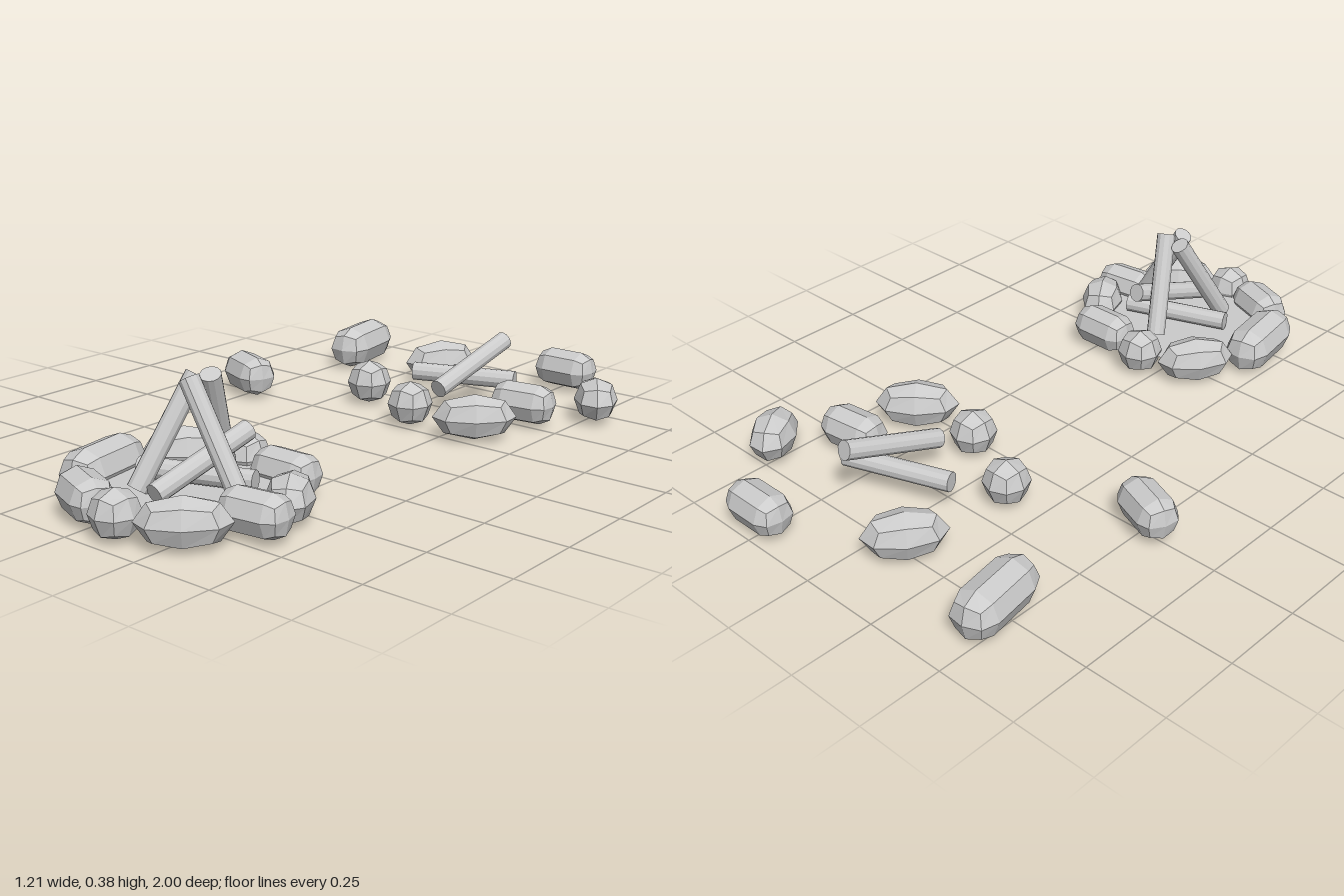
import * as THREE from 'three';

const mat = new THREE.MeshStandardMaterial({ color: 0xcccccc, flatShading: true });
const discMat = new THREE.MeshStandardMaterial({ color: 0xcccccc, flatShading: true, side: THREE.DoubleSide });

// Stone: a box grid rounded by a rule; long stones keep a straight middle
function stoneGeometry(half, radius, straight) {
  const geo = new THREE.BoxGeometry(2, 2, 2, straight ? 4 : 2, 2, 2);
  const p = geo.attributes.position;
  const lateral = [1, 1, 0.72, 0.58];
  const along = straight ? [1, 1, 0.9, 0.82] : lateral;
  for (let i = 0; i < p.count; i++) {
    const x = p.getX(i), y = p.getY(i), z = p.getZ(i);
    const isEnd = Math.abs(x) > 0.9;
    const n = (isEnd ? 1 : 0) + (Math.abs(y) > 0.5 ? 1 : 0) + (Math.abs(z) > 0.5 ? 1 : 0);
    const ax = isEnd ? x * along[n] : x * 1.1;
    p.setXYZ(i, ax * half, y * lateral[n] * radius, z * lateral[n] * radius);
  }
  geo.computeVertexNormals();
  return geo;
}

// Log: a cylinder between two points
function log(a, b) {
  const from = new THREE.Vector3(...a), to = new THREE.Vector3(...b);
  const dir = to.clone().sub(from);
  const mesh = new THREE.Mesh(new THREE.CylinderGeometry(0.029, 0.029, dir.length(), 12), mat);
  mesh.position.copy(from).add(to).multiplyScalar(0.5);
  mesh.quaternion.setFromUnitVectors(new THREE.Vector3(0, 1, 0), dir.normalize());
  mesh.name = 'log';
  return mesh;
}

// Half length, radius, straight middle, turn in degrees, place in ring, place when scattered
const STONES = [
  [0.068, 0.069, false, 0, [0.055, 0.392], [-0.135, -0.4]],
  [0.1, 0.062, true, 0, [0.23, 0.422], [0.27, -0.94]],
  [0.1, 0.067, false, -57, [0.368, 0.565], [0.525, -0.693]],
  [0.1, 0.062, true, 7, [0.372, 0.7], [0.372, -0.52]],
  [0.126, 0.07, false, 40, [0.282, 0.862], [0.342, -0.298]],
  [0.068, 0.069, false, 0, [0.11, 0.928], [0.11, -0.29]],
  [0.099, 0.063, true, -21, [-0.046, 0.887], [-0.501, -0.228]],
  [0.138, 0.07, true, -81, [-0.182, 0.702], [-0.461, -0.77]],
  [0.121, 0.07, false, 54, [-0.106, 0.47], [-0.106, -0.752]],
];

// Two fallen logs, shared by both piles
const FALLEN = [
  [[-0.052, 0.092, 0.69], [0.26, 0.092, 0.577]],
  [[0.133, 0.092, 0.815], [0.165, 0.192, 0.5]],
];
// Three logs leaning together
const LEANING = [
  [[0.028, 0.07, 0.776], [0.08, 0.352, 0.605]],
  [[0.28, 0.075, 0.66], [0.11, 0.358, 0.66]],
  [[0.072, 0.08, 0.49], [0.145, 0.366, 0.617]],
];
const SCATTER_Z = -1.22;

export function createModel() {
  const root = new THREE.Group();
  const campfire = new THREE.Group();
  campfire.name = 'campfire';
  const scattered = new THREE.Group();
  scattered.name = 'scatteredCampfire';
  root.add(campfire, scattered);

  // Stones
  for (const [half, radius, straight, turn, ringAt, looseAt] of STONES) {
    const geo = stoneGeometry(half, radius, straight);
    for (const [group, at] of [[campfire, ringAt], [scattered, looseAt]]) {
      const stone = new THREE.Mesh(geo, mat);
      stone.position.set(at[0], 0.07, at[1]);
      stone.rotation.y = THREE.MathUtils.degToRad(turn);
      stone.name = 'stone';
      group.add(stone);
    }
  }

  // Logs
  for (const [a, b] of FALLEN) {
    campfire.add(log(a, b));
    const loose = log(a, b);
    loose.position.z += SCATTER_Z;
    scattered.add(loose);
  }
  for (const [a, b] of LEANING) campfire.add(log(a, b));

  // Ash bed inside the ring, level with the middle of the stones
  const ash = new THREE.Mesh(new THREE.CircleGeometry(0.27, 16), discMat);
  ash.rotation.x = -Math.PI / 2;
  ash.position.set(0.095, 0.06, 0.66);
  ash.name = 'ashBed';
  campfire.add(ash);

  return root;
}
